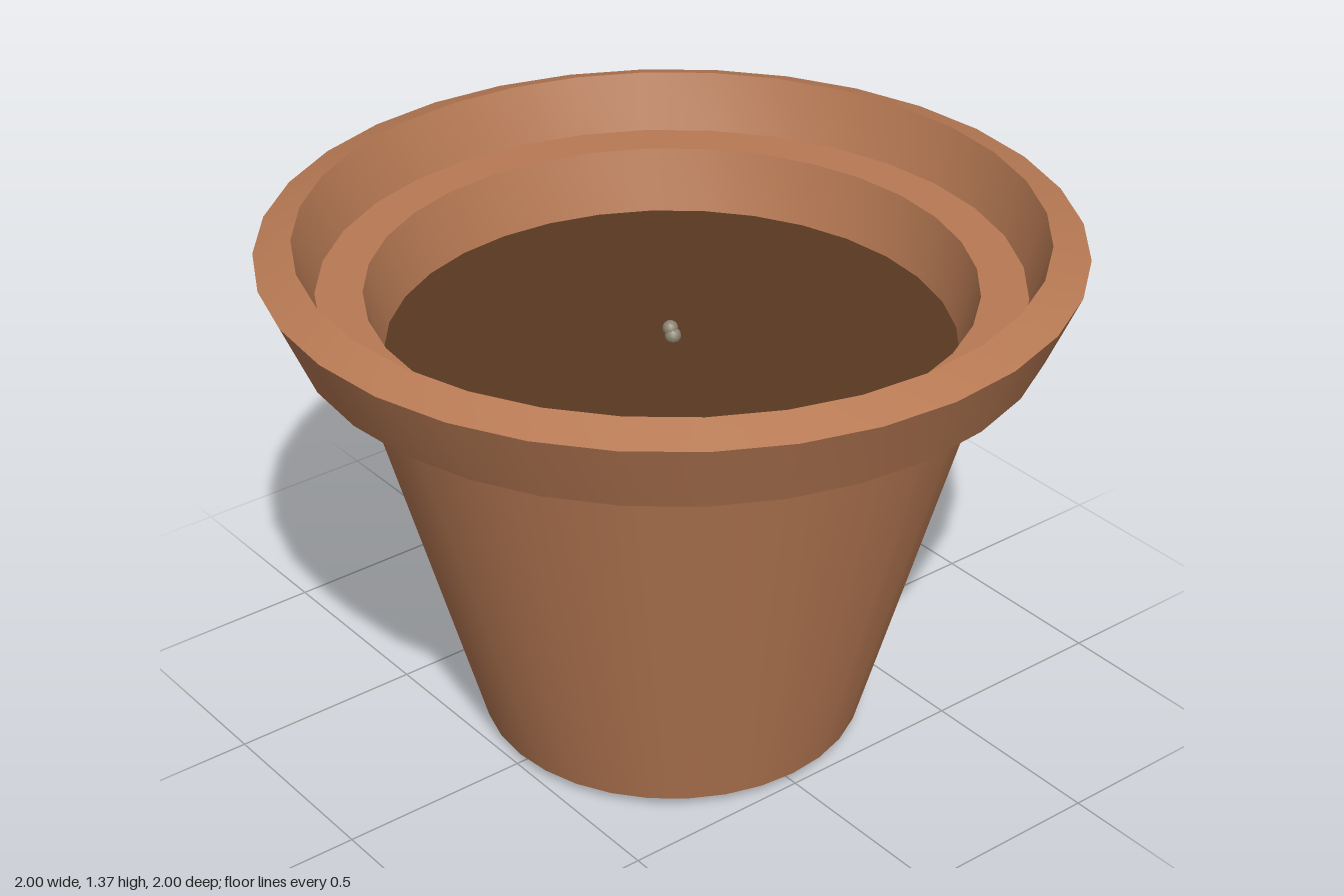
import * as THREE from 'three';
import { toCreasedNormals } from 'three/addons/utils/BufferGeometryUtils.js';

const SIDES = 32;

// Revolve a profile, keeping its corners sharp and the round smooth
function turned(name, profile, material) {
  const points = profile.map(([r, y]) => new THREE.Vector2(r, y));
  const geometry = toCreasedNormals(new THREE.LatheGeometry(points, SIDES), 0.5);
  const mesh = new THREE.Mesh(geometry, material);
  mesh.name = name;
  return mesh;
}

export function createModel() {
  const model = new THREE.Group();
  model.name = 'flowerPot';

  const clay = new THREE.MeshStandardMaterial({ color: 0xb87a54 });
  const earth = new THREE.MeshStandardMaterial({ color: 0x5a3820 });
  const stone = new THREE.MeshStandardMaterial({ color: 0x8c8473 });

  // Pot: shallow pointed base, tapered wall, flared rim, inner ledge
  model.add(turned('pot', [
    [0, 0], [0.49, 0.025],
    [0.8, 1.147], [0.92, 1.147],
    [1, 1.333], [0.908, 1.365],
    [0.86, 1.22], [0.745, 1.22],
    [0.702, 1.06],
  ], clay));

  // Flat soil surface
  model.add(turned('soil', [[0.702, 1.06], [0, 1.06]], earth));

  // Tiny pebble in the middle, made of two merged lumps
  const pebble = new THREE.Group();
  pebble.name = 'pebble';
  [[-0.006, 1.086, 0, 0.02], [0.004, 1.07, 0, 0.021]].forEach(([x, y, z, r], i) => {
    const lump = new THREE.Mesh(new THREE.SphereGeometry(r, 10, 8), stone);
    lump.name = i ? 'lowerLump' : 'upperLump';
    lump.position.set(x, y, z);
    pebble.add(lump);
  });
  model.add(pebble);

  return model;
}
